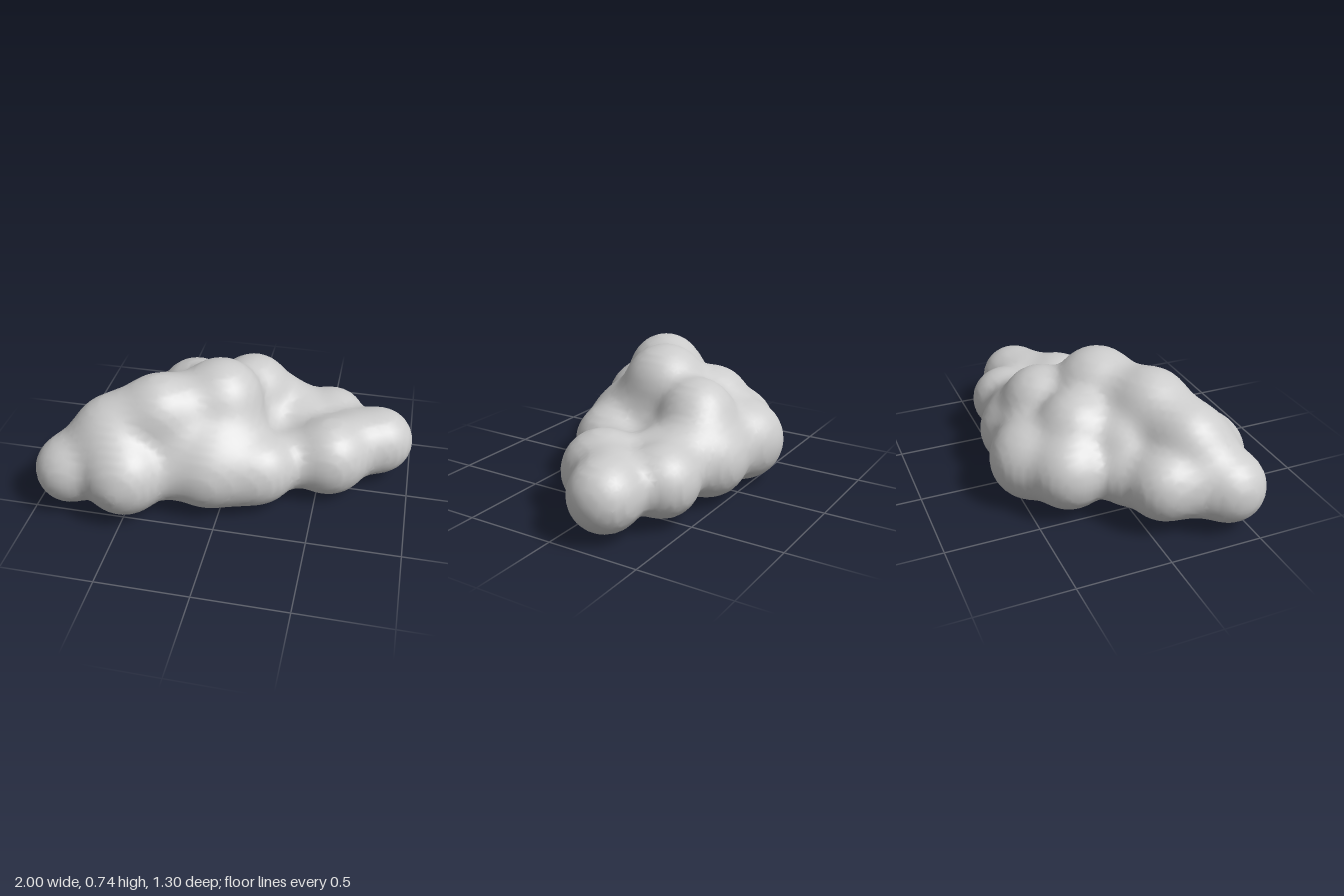
import * as THREE from 'three';

// Puffs of the cloud: x, y, z, radius
const outerPuffs = [
  // left end
  [-0.81, 0.235, 0.41, 0.188], [-0.5, 0.255, 0.425, 0.222], [-0.695, 0.25, 0.1, 0.184],
  // front
  [-0.08, 0.24, 0.26, 0.218], [0.19, 0.23, 0.2, 0.193],
  // right end
  [0.55, 0.225, 0.0, 0.215], [0.815, 0.23, -0.2, 0.184], [0.53, 0.235, -0.35, 0.185],
  // back
  [0.15, 0.235, -0.4, 0.2], [-0.19, 0.245, -0.43, 0.22], [-0.385, 0.25, -0.29, 0.205],
  // crown
  [-0.06, 0.525, 0.0, 0.222], [-0.36, 0.515, 0.18, 0.204], [-0.61, 0.43, 0.28, 0.18],
  [0.07, 0.43, -0.28, 0.2],
];
// Mass between the puffs, filling the hollows: x, y, z, radius
const innerPuffs = [
  // right end
  [0.37, 0.235, -0.2, 0.17], [0.35, 0.215, 0.06, 0.15], [0.68, 0.235, -0.14, 0.175],
  [0.32, 0.265, -0.33, 0.16],
  // left end
  [-0.53, 0.24, -0.03, 0.155], [-0.74, 0.24, 0.25, 0.155], [-0.5, 0.27, 0.22, 0.2],
  [-0.69, 0.35, 0.33, 0.15], [-0.57, 0.35, 0.34, 0.18],
  // front
  [-0.27, 0.25, 0.29, 0.18], [0.06, 0.23, 0.22, 0.195], [-0.25, 0.35, 0.2, 0.2], [-0.07, 0.33, 0.18, 0.195],
  // middle
  [-0.2, 0.25, -0.05, 0.21], [0.1, 0.24, -0.12, 0.2], [0.0, 0.37, 0.08, 0.195],
  [-0.02, 0.25, -0.35, 0.2], [0.2, 0.22, -0.22, 0.17], [-0.32, 0.22, 0.1, 0.17],
  // crown slopes
  [-0.22, 0.5, 0.1, 0.18], [-0.5, 0.47, 0.23, 0.165], [0.19, 0.32, -0.33, 0.16],
  [-0.25, 0.41, -0.2, 0.2], [-0.4, 0.37, 0.0, 0.17],
];
const puffs = [...outerPuffs, ...innerPuffs];
const BLEND = 0.032;

// Smoothly blended distance to all puffs, negative inside
function field(x, y, z) {
  let sum = 0;
  for (const [px, py, pz, r] of puffs) {
    sum += Math.exp(-(Math.hypot(x - px, y - py, z - pz) - r) / BLEND);
  }
  return -BLEND * Math.log(sum);
}

// Mesh the zero surface: one vertex per crossed cell, one quad per crossed grid edge
function blendedSurface(min, cell, size) {
  const [nx, ny, nz] = size;
  const id = (i, j, k) => i + nx * (j + ny * k);
  const values = new Float32Array(nx * ny * nz);
  const each = (start, fn) => {
    for (let k = start; k < nz - 1; k++)
      for (let j = start; j < ny - 1; j++)
        for (let i = start; i < nx - 1; i++) fn([i, j, k]);
  };
  for (let k = 0; k < nz; k++)
    for (let j = 0; j < ny; j++)
      for (let i = 0; i < nx; i++)
        values[id(i, j, k)] = field(min[0] + i * cell, min[1] + j * cell, min[2] + k * cell);

  const positions = [];
  const vertexOf = new Map();
  each(0, (c) => {
    const sum = [0, 0, 0];
    let count = 0;
    for (let corner = 0; corner < 8; corner++) {
      for (let axis = 0; axis < 3; axis++) {
        if (corner & (1 << axis)) continue;
        const a = [0, 1, 2].map((d) => c[d] + ((corner >> d) & 1));
        const b = a.slice();
        b[axis]++;
        const va = values[id(...a)];
        const vb = values[id(...b)];
        if (va < 0 === vb < 0) continue;
        a[axis] += va / (va - vb);
        for (let d = 0; d < 3; d++) sum[d] += a[d];
        count++;
      }
    }
    if (!count) return;
    const p = sum.map((s, d) => min[d] + (s / count) * cell);
    // Pull the vertex onto the surface along the gradient
    const e = 0.002;
    const f = field(...p);
    const g = [0, 1, 2].map((d) => {
      const q = p.slice();
      q[d] += e;
      return (field(...q) - f) / e;
    });
    const len2 = Math.max(0.2, g[0] * g[0] + g[1] * g[1] + g[2] * g[2]);
    vertexOf.set(id(...c), positions.length / 3);
    positions.push(...p.map((v, d) => v - (f * g[d]) / len2));
  });

  const indices = [];
  each(1, (c) => {
    for (let axis = 0; axis < 3; axis++) {
      const end = c.slice();
      end[axis]++;
      const inside = values[id(...c)] < 0;
      if (inside === values[id(...end)] < 0) continue;
      const b = (axis + 1) % 3;
      const d = (axis + 2) % 3;
      const quad = [[1, 1], [0, 1], [0, 0], [1, 0]].map(([ob, od]) => {
        const n = c.slice();
        n[b] -= ob;
        n[d] -= od;
        return vertexOf.get(id(...n));
      });
      if (!inside) quad.reverse();
      indices.push(quad[0], quad[1], quad[2], quad[0], quad[2], quad[3]);
    }
  });

  const geometry = new THREE.BufferGeometry();
  geometry.setAttribute('position', new THREE.Float32BufferAttribute(positions, 3));
  geometry.setIndex(indices);
  geometry.computeVertexNormals();
  return geometry;
}

export function createModel() {
  const group = new THREE.Group();
  group.name = 'cloud';

  const geometry = blendedSurface([-1.16, -0.16, -0.86], 0.035, [67, 32, 50]);

  // Stand the cloud on the ground
  geometry.computeBoundingBox();
  geometry.translate(0, -geometry.boundingBox.min.y, 0);

  const body = new THREE.Mesh(geometry, new THREE.MeshStandardMaterial({ color: 0xcccccc }));
  body.name = 'cloudBody';
  group.add(body);
  return group;
}
